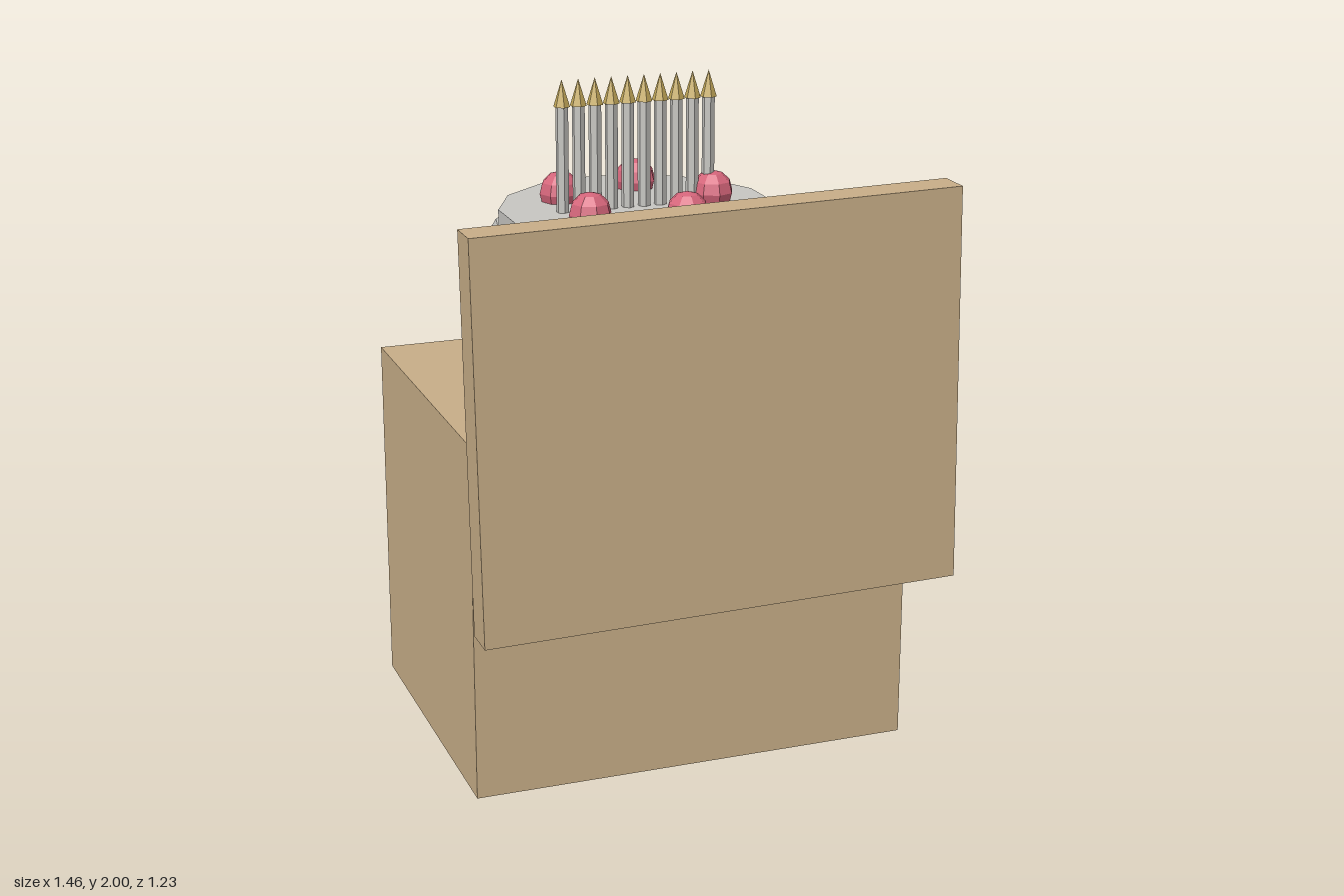
import * as THREE from 'three';

const material = (name, color) => {
  const m = new THREE.MeshStandardMaterial({ color, flatShading: true });
  m.name = name;
  return m;
};

export function createModel() {
  const model = new THREE.Group();
  model.name = 'cakeStand';
  const tan = material('tan', 0xc8ae88);
  const silver = material('silver', 0xc8c7c3);
  const gold = material('gold', 0xc4a95a);
  const pink = material('pink', 0xd4657a);
  const centreZ = -0.115;

  const add = (name, geometry, mat, x, y, z) => {
    const mesh = new THREE.Mesh(geometry, mat);
    mesh.name = name;
    mesh.position.set(x, y, z);
    model.add(mesh);
    return mesh;
  };

  // Pedestal and the slightly tilted board floating in front of it
  add('pedestal', new THREE.BoxGeometry(1.35, 1.09, 1), tan, 0, 0.545, centreZ);
  add('frontBoard', new THREE.BoxGeometry(1.435, 1.175, 0.105), tan, 0, 1.171, 0.5625).rotation.z = 0.0175;

  // Cake with its icing cap and rim
  add('cake', new THREE.CylinderGeometry(0.405, 0.405, 0.4, 14), tan, 0, 1.29, centreZ);
  add('icing', new THREE.CylinderGeometry(0.414, 0.414, 0.115, 14), silver, 0, 1.5475, centreZ);
  add('icingRim', new THREE.TorusGeometry(0.404, 0.045, 6, 14), silver, 0, 1.515, centreZ).rotation.x = Math.PI / 2;

  // Ring of berries
  const berry = new THREE.SphereGeometry(0.065, 8, 6);
  for (let i = 0; i < 5; i++) {
    const a = (i / 5) * Math.PI * 2;
    add('berry', berry, pink, 0.24 * Math.cos(a), 1.63, centreZ + 0.24 * Math.sin(a));
  }

  // Row of candles with pointed flames
  const candle = new THREE.CylinderGeometry(0.019, 0.019, 0.32, 6);
  const flame = new THREE.ConeGeometry(0.025, 0.08, 6);
  for (let i = 0; i < 10; i++) {
    const x = -0.232 + i * 0.0509;
    add('candle', candle, silver, x, 1.76, centreZ);
    add('flame', flame, gold, x, 1.96, centreZ);
  }
  return model;
}
